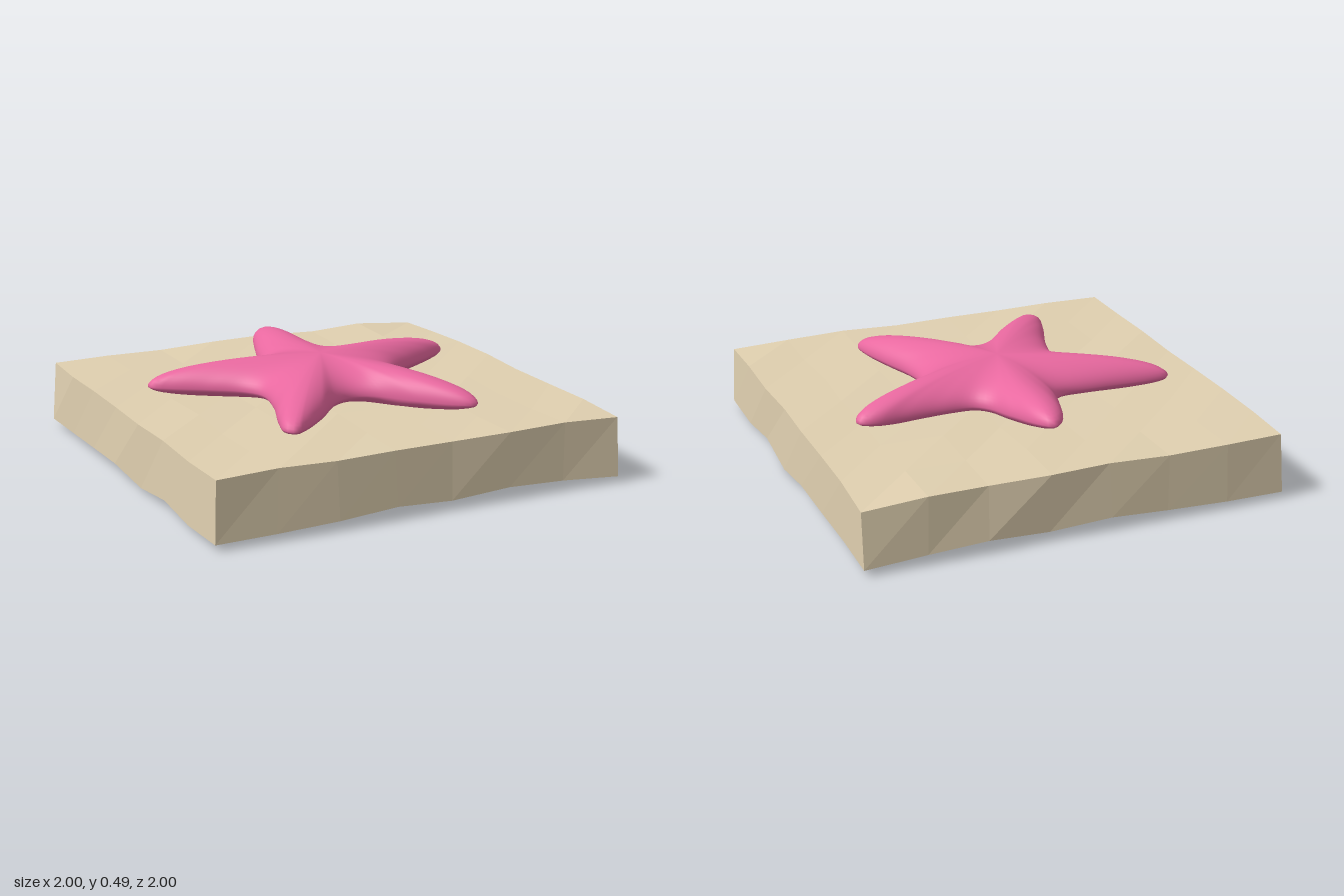
import * as THREE from 'three';
import { mergeVertices } from 'three/addons/utils/BufferGeometryUtils.js';

// plan outline of the starfish as x, z pairs, starting at the back arm's tip
const OUTLINE = [
  0.01, -0.72, 0.06, -0.66, 0.11, -0.48, 0.15, -0.33, 0.21, -0.27,
  0.36, -0.255, 0.55, -0.265, 0.70, -0.275, 0.757, -0.25, 0.75, -0.2,
  0.65, -0.13, 0.5, -0.05, 0.38, 0.02, 0.33, 0.12,
  0.345, 0.25, 0.40, 0.42, 0.445, 0.58, 0.45, 0.66, 0.42, 0.69, 0.36, 0.66,
  0.22, 0.52, 0.08, 0.36, -0.015, 0.325,
  -0.11, 0.36, -0.27, 0.53, -0.42, 0.66, -0.48, 0.69, -0.51, 0.65, -0.48, 0.52,
  -0.40, 0.30, -0.37, 0.12, -0.42, 0.03, -0.55, -0.07, -0.72, -0.18,
  -0.78, -0.23, -0.775, -0.27, -0.70, -0.28, -0.45, -0.265, -0.25, -0.27,
  -0.18, -0.32, -0.13, -0.47, -0.05, -0.67,
];

// repeatable noise in 0..1 for a grid corner
function noise(i, j, k) {
  const n = Math.sin(i * 127.1 + j * 311.7 + k * 74.7) * 43758.5453;
  return n - Math.floor(n);
}

// sphere whose rings follow the star outline, shrinking towards both poles
function starfishGeometry() {
  const points = [];
  for (let i = 0; i < OUTLINE.length; i += 2) {
    points.push(new THREE.Vector3(OUTLINE[i], 0, OUTLINE[i + 1]));
  }
  const curve = new THREE.CatmullRomCurve3(points, true);
  const segments = 200, rings = 32;
  const around = curve.getSpacedPoints(segments);
  const geometry = new THREE.SphereGeometry(1, segments, rings);
  const pos = geometry.attributes.position;
  const centre = new THREE.Vector3(-0.015, 0, 0);
  const p = new THREE.Vector3();
  for (let v = 0, n = 0; v <= rings; v++) {
    const phi = (v / rings) * Math.PI;
    const s = v % rings === 0 ? 0 : Math.sin(phi);
    for (let u = 0; u <= segments; u++, n++) {
      p.lerpVectors(centre, around[(segments - u) % segments], s);
      const lift = 0.05 * THREE.MathUtils.smoothstep(-p.z, 0.25, 0.75); // back arm curls up
      const c = Math.cos(phi);
      pos.setXYZ(n, p.x, 0.36 + lift + c * (c > 0 ? 0.13 : 0.07), p.z);
    }
  }
  geometry.deleteAttribute('uv');
  geometry.deleteAttribute('normal');
  const merged = mergeVertices(geometry, 1e-5);
  merged.computeVertexNormals();
  return merged;
}

// box with its grid corners nudged into a rough stone tile
function slabGeometry() {
  const N = 7;
  const alongX = [0.03, 0.035, 0.045, 0.062, 0.045, 0.062, 0.048, 0.03];
  const alongZ = [0.03, 0.03, 0.04, 0.05, 0.015, 0.05, 0.025, 0.03];
  const geometry = new THREE.BoxGeometry(2, 1, 2, N, 1, N);
  const pos = geometry.attributes.position;
  for (let n = 0; n < pos.count; n++) {
    const x = pos.getX(n), z = pos.getZ(n), top = pos.getY(n) > 0;
    const i = Math.round((x + 1) * N / 2), j = Math.round((z + 1) * N / 2), k = top ? 1 : 0;
    const inner = i > 0 && i < N && j > 0 && j < N;
    let y;
    if (top) {
      y = 0.308 + 0.014 * noise(i, j, 1);
      if (i === N && j === 0) y = 0.29;
    } else {
      y = alongX[i] + alongZ[j] - 0.03 - (inner ? 0.045 * noise(i, j, 2) : 0);
    }
    const size = top ? 0.985 : 0.99;
    const dx = 0.02 * (noise(i, j, k + 3) - 0.5), dz = 0.02 * (noise(i, j, k + 7) - 0.5);
    pos.setXYZ(n, x * size + dx, Math.max(0, y), z * size + dz);
  }
  geometry.computeVertexNormals();
  return geometry;
}

export function createModel() {
  const model = new THREE.Group();
  model.name = 'starfishOnSlab';

  // stone tile
  const slab = new THREE.Mesh(
    slabGeometry(),
    new THREE.MeshStandardMaterial({ color: 0xe0d0b0, flatShading: true })
  );
  slab.name = 'slab';

  // five-armed starfish lying on the tile
  const starfish = new THREE.Mesh(
    starfishGeometry(),
    new THREE.MeshStandardMaterial({ color: 0xe8689f })
  );
  starfish.name = 'starfish';

  model.add(slab, starfish);
  return model;
}
